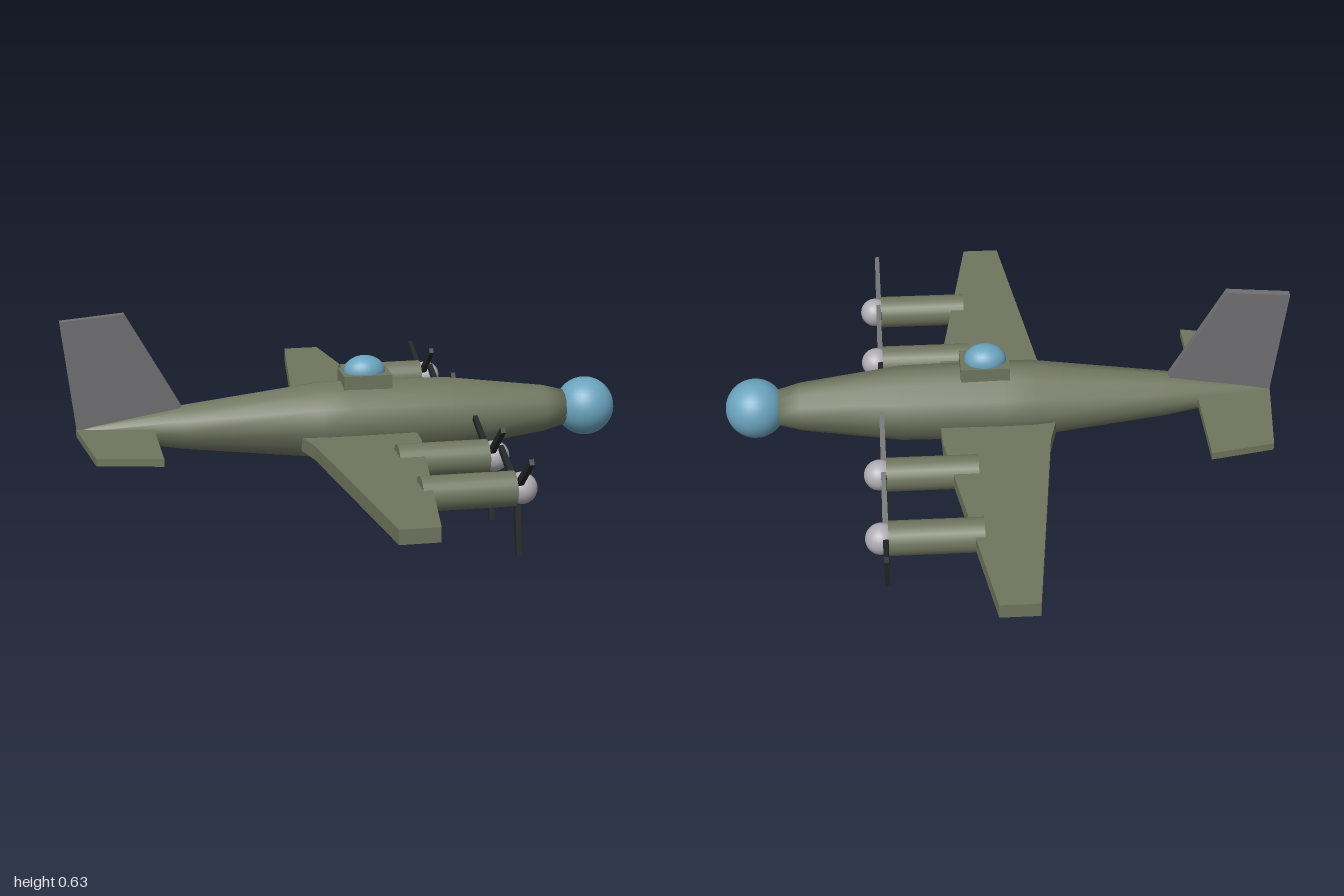
import * as THREE from 'three';

const mat = (name, color) => {
  const m = new THREE.MeshStandardMaterial({ color });
  m.name = name;
  return m;
};

export function createModel() {
  const olive = mat('olive green', 0x70755f);
  const grey = mat('fin grey', 0x707072);
  const blue = mat('glass blue', 0x6ba3be);
  const silver = mat('spinner silver', 0xb0adb4);
  const black = mat('blade black', 0x242628);

  const model = new THREE.Group();
  model.name = 'aeroplane';

  const add = (name, geometry, material, x = 0, y = 0, z = 0, parent = model) => {
    const mesh = new THREE.Mesh(geometry, material);
    mesh.name = name;
    mesh.position.set(x, y, z);
    parent.add(mesh);
    return mesh;
  };

  // Slab cut from an outline of [a, b] points
  const slab = (points, depth) => new THREE.ExtrudeGeometry(
    new THREE.Shape(points.map(([a, b]) => new THREE.Vector2(a, b))),
    { depth, bevelEnabled: false });

  // Flat lifting surface: half outline [x, span] mirrored to both sides
  const planform = (half, thickness) => {
    const other = half.map(([x, s]) => [x, -s]).reverse();
    return slab([...half, ...other], thickness).rotateX(-Math.PI / 2);
  };

  // Fuselage: tapered body turned about the x axis
  const profile = [[0, -0.86], [0.015, -0.86], [0.072, -0.52], [0.123, -0.09],
    [0.125, 0.0], [0.12, 0.33], [0.077, 0.65], [0.058, 0.72], [0, 0.72]];
  const body = new THREE.LatheGeometry(profile.map(([r, h]) => new THREE.Vector2(r, h)), 12);
  add('fuselage', body.rotateZ(-Math.PI / 2), olive, 0, 0.25);
  add('noseDome', new THREE.SphereGeometry(0.095, 32, 20), blue, 0.795, 0.25);

  // Wing and tail surfaces
  add('wing', planform([[-0.16, 0.1], [-0.135, 0.2], [-0.04, 1], [0.08, 1],
    [0.205, 0.2], [0.208, 0.1]], 0.045), olive, 0, 0.18);
  add('tailplane', planform([[-0.86, 0.01], [-0.82, 0.32], [-0.62, 0.36]], 0.024),
    olive, 0, 0.238);
  add('fin', slab([[-0.86, 0.25], [-0.53, 0.3], [-0.53, 0.325], [-0.7, 0.627],
    [-0.9, 0.61], [-0.86, 0.27]], 0.026), grey, 0, 0, -0.013);

  // Dorsal turret
  add('turretBase', new THREE.BoxGeometry(0.156, 0.06, 0.116), olive, 0.062, 0.373);
  add('turretDome', new THREE.SphereGeometry(1, 28, 18).scale(0.067, 0.05, 0.054),
    blue, 0.06, 0.405);

  // Four engines, each with a nacelle, spinner and three blades
  const nacelle = new THREE.CylinderGeometry(0.053, 0.053, 0.285, 24).rotateZ(-Math.PI / 2);
  const spinner = new THREE.SphereGeometry(0.048, 24, 16);
  const blade = new THREE.BoxGeometry(0.018, 0.2, 0.022).translate(0, 0.1, 0);
  const pos = blade.attributes.position;
  for (let i = 0; i < pos.count; i++) { // narrow towards the tip
    if (pos.getY(i) > 0.1) pos.setXYZ(i, pos.getX(i) * 0.8, 0.2, pos.getZ(i) * 0.85);
  }
  blade.computeVertexNormals();

  for (const z of [-0.64, -0.32, 0.32, 0.64]) {
    const engine = new THREE.Group();
    engine.name = 'engine';
    engine.position.set(0, 0.2, z);
    model.add(engine);
    add('nacelle', nacelle, olive, 0.2425, 0, 0, engine);
    add('spinner', spinner, silver, 0.407, 0, 0, engine);
    for (let k = 0; k < 3; k++) {
      const b = add('propellerBlade', blade, black, 0.393, 0, 0, engine);
      b.rotation.x = THREE.MathUtils.degToRad(50 + k * 120);
    }
  }
  return model;
}
